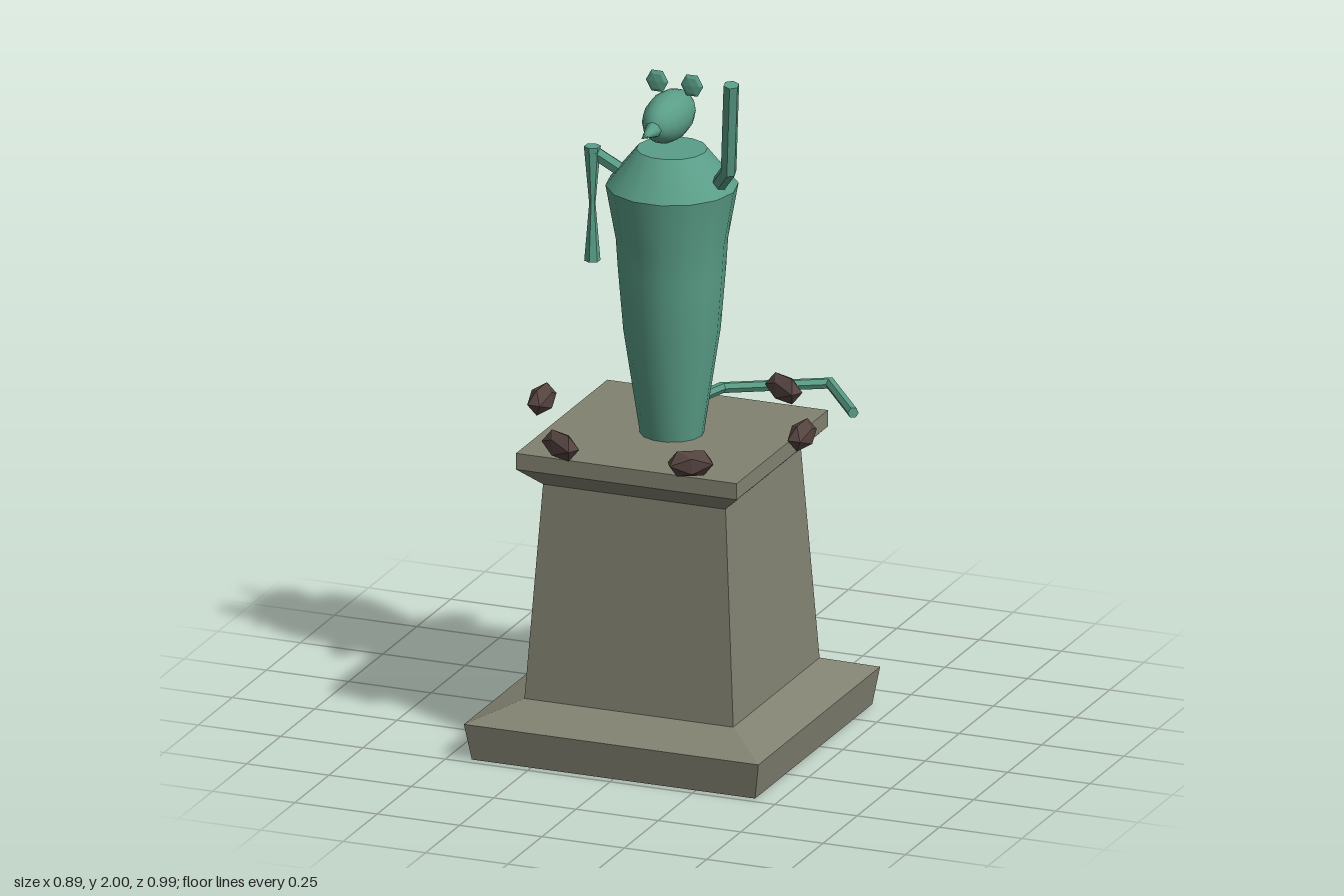
import * as THREE from 'three';
import { toCreasedNormals } from 'three/addons/utils/BufferGeometryUtils.js';

const CZ = 0.045; // z of the statue's axis

const patina = new THREE.MeshStandardMaterial({ color: 0x5a9e88 });
patina.name = 'green patina';
const stone = new THREE.MeshStandardMaterial({ color: 0x828272 });
stone.name = 'grey stone';
const rock = new THREE.MeshStandardMaterial({ color: 0x54433f });
rock.name = 'dark rock';

function add(parent, name, geometry, material, x = 0, y = 0, z = 0) {
  const mesh = new THREE.Mesh(geometry, material);
  mesh.name = name;
  mesh.position.set(x, y, z);
  parent.add(mesh);
  return mesh;
}

function flat(geometry) {
  const g = geometry.index ? geometry.toNonIndexed() : geometry;
  g.computeVertexNormals();
  return g;
}

// Turned shape from [radius, height] pairs, bottom to top
function turned(profile, sides, phase = 0) {
  const points = profile.map(([r, y]) => new THREE.Vector2(r, y));
  return new THREE.LatheGeometry(points, sides, phase, Math.PI * 2);
}

// Hexagonal bar along a bent path, with mitred joints and closed ends
function limb(path, radius, sides = 6) {
  const pts = path.map((p) => new THREE.Vector3(...p));
  const dirs = pts.slice(1).map((p, i) => p.clone().sub(pts[i]).normalize());
  const u = new THREE.Vector3(0, 1, 0);
  if (Math.abs(dirs[0].y) > 0.9) u.set(1, 0, 0);
  u.cross(dirs[0]).normalize();
  const v = dirs[0].clone().cross(u);
  const positions = [], index = [];
  let ring = [];
  for (let k = 0; k < sides; k++) {
    const a = (k / sides) * Math.PI * 2;
    ring.push(pts[0].clone().addScaledVector(u, Math.cos(a) * radius).addScaledVector(v, Math.sin(a) * radius));
  }
  pts.forEach((p, i) => {
    if (i > 0) {
      // slide the ring along the bar to the mitre plane
      const d = dirs[i - 1];
      const n = d.clone().add(dirs[i] || d).normalize();
      ring = ring.map((q) => q.clone().addScaledVector(d, p.clone().sub(q).dot(n) / d.dot(n)));
    }
    ring.forEach((q) => positions.push(q.x, q.y, q.z));
  });
  const last = (pts.length - 1) * sides;
  for (let i = 0; i < last; i += sides) {
    for (let k = 0; k < sides; k++) {
      const a = i + k, b = i + ((k + 1) % sides);
      index.push(a, b, b + sides, a, b + sides, a + sides);
    }
  }
  for (let k = 1; k < sides - 1; k++) {
    index.push(0, k + 1, k, last, last + k, last + k + 1);
  }
  const g = new THREE.BufferGeometry();
  g.setAttribute('position', new THREE.Float32BufferAttribute(positions, 3));
  g.setIndex(index);
  return flat(g);
}

export function createModel() {
  const model = new THREE.Group();
  model.name = 'statue';

  // Square pedestal with a moulded foot and cornice
  const half = [[0, 0], [0.43, 0], [0.447, 0.108], [0.317, 0.16], [0.277, 0.79], [0.335, 0.845], [0.335, 0.893], [0, 0.893]];
  const pedestal = half.map(([h, y]) => [h * Math.SQRT2, y]);
  add(model, 'pedestal', flat(turned(pedestal, 4, Math.PI / 4)), stone, 0, 0, CZ);

  // Ring of loose rocks
  const rocks = new THREE.Group();
  rocks.name = 'rocks';
  rocks.position.set(0, 0.937, CZ);
  model.add(rocks);
  for (let i = 0; i < 6; i++) {
    const a = Math.PI / 6 + (i * Math.PI) / 3;
    const r = add(rocks, 'rock', flat(new THREE.IcosahedronGeometry(1, 0)), rock, Math.sin(a) * 0.395, 0, Math.cos(a) * 0.395);
    r.scale.set(0.073, 0.044, 0.036);
    r.rotation.y = a;
  }

  // Tapered body with sloping shoulders
  const body = turned([[0, 0.89], [0.09, 0.89], [0.137, 1.2], [0.152, 1.38], [0.158, 1.47], [0.187, 1.63], [0.1, 1.737], [0, 1.737]], 14, Math.PI / 2);
  add(model, 'body', toCreasedNormals(body, 0.6), patina, 0, 0, CZ);

  // Head with pointed snout and flat ears
  const head = new THREE.Group();
  head.name = 'head';
  head.position.set(0, 1.84, 0.068);
  model.add(head);
  const skull = new THREE.SphereGeometry(1, 14, 10).rotateX(Math.PI / 2).scale(0.064, 0.072, 0.124);
  add(head, 'skull', skull, patina);
  const snout = new THREE.ConeGeometry(0.029, 0.105, 8).rotateX(Math.PI / 2);
  add(head, 'snout', snout, patina, 0, -0.003, 0.149);
  for (const side of [-1, 1]) {
    const ear = new THREE.SphereGeometry(1, 6, 4).rotateX(Math.PI / 2).scale(0.034, 0.036, 0.009);
    add(head, 'ear', flat(ear), patina, side * 0.053, 0.084, -0.042);
  }

  // Raised left arm
  add(model, 'leftArm', limb([[0.145, 1.65, 0.06], [0.207, 1.725, 0.13], [0.235, 2, 0.178]], 0.023), patina);

  // Lowered right arm, with a forearm pinched in the middle
  add(model, 'rightUpperArm', limb([[-0.145, 1.655, 0.06], [-0.21, 1.725, 0.122]], 0.021), patina);
  const forearm = turned([[0, 1.4], [0.023, 1.4], [0.009, 1.57], [0.024, 1.74], [0, 1.74]], 6);
  add(model, 'rightForearm', flat(forearm), patina, -0.21, 0, 0.122);

  // Bent tail resting on the pedestal and reaching past its edge
  add(model, 'tail', limb([[0, 0.95, -0.03], [0, 0.905, -0.32], [0.264, 0.903, -0.477], [0.42, 0.903, -0.27]], 0.016), patina);

  return model;
}
